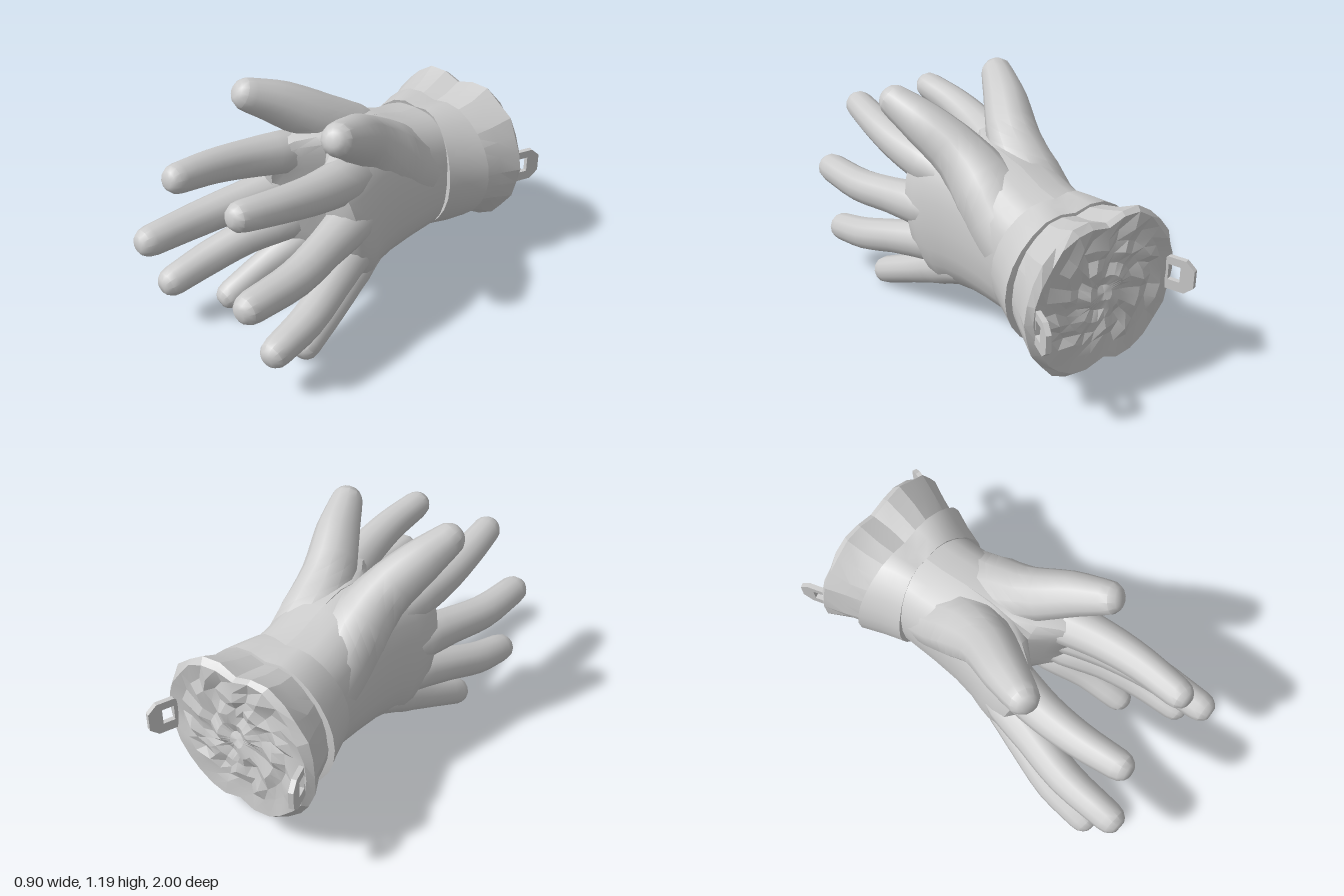
import * as THREE from 'three';
import { toCreasedNormals } from 'three/addons/utils/BufferGeometryUtils.js';

const material = new THREE.MeshStandardMaterial({ color: 0xcccccc });
const V = (x, y, z) => new THREE.Vector3(x, y, z);
const spow = (v, p) => Math.sign(v) * Math.abs(v) ** p;
const hash = (n) => { const s = Math.sin(n * 127.1) * 43758.5; return s - Math.floor(s) - 0.5; };

// Skins equal-sized rings of points and closes both ends; side = -1 mirrors across x.
function loft(name, rings, side = 1, crease = 0.6) {
  const n = rings[0].length, pos = [], idx = [];
  const tri = (a, b, c) => (side > 0 ? idx.push(a, b, c) : idx.push(a, c, b));
  rings.flat().forEach((p) => pos.push(p.x * side, p.y, p.z));
  for (let i = 0; i < rings.length - 1; i++) {
    for (let j = 0; j < n; j++) {
      const k = (j + 1) % n, a = i * n + j, b = i * n + k;
      tri(a, b, b + n);
      tri(a, b + n, a + n);
    }
  }
  [0, rings.length - 1].forEach((r) => {
    const c = rings[r].reduce((s, p) => s.add(p), V(0, 0, 0)).divideScalar(n);
    const m = pos.length / 3;
    pos.push(c.x * side, c.y, c.z);
    for (let j = 0; j < n; j++) {
      const a = r * n + j, b = r * n + ((j + 1) % n);
      if (r) tri(a, b, m); else tri(b, a, m);
    }
  });
  const g = new THREE.BufferGeometry();
  g.setAttribute('position', new THREE.Float32BufferAttribute(pos, 3));
  g.setIndex(idx);
  const mesh = new THREE.Mesh(toCreasedNormals(g, crease), material);
  mesh.name = name;
  return mesh;
}

// Rounded digit along a curve; each stop is [x, y, z, radius].
function digit(name, stops, side, sides = 12) {
  const curve = new THREE.CatmullRomCurve3(stops.map(([x, y, z]) => V(x, y, z)));
  const rings = [], steps = (stops.length - 1) * 3;
  const ring = (c, t, r) => {
    const u = V(0, 1, 0).cross(t).normalize(), w = t.clone().cross(u);
    rings.push(Array.from({ length: sides }, (_, j) => {
      const a = ((j + 0.5) / sides) * Math.PI * 2;
      const p = c.clone().addScaledVector(u, r * Math.cos(a)).addScaledVector(w, r * Math.sin(a));
      p.x = Math.max(0, p.x);
      return p;
    }));
  };
  for (let i = 0; i <= steps; i++) {
    const f = i / 3, k = Math.min(Math.floor(f), stops.length - 2);
    const r = THREE.MathUtils.lerp(stops[k][3], stops[k + 1][3], f - k);
    ring(curve.getPoint(i / steps), curve.getTangent(i / steps), r);
  }
  // rounded fingertip
  const end = curve.getPoint(1), t = curve.getTangent(1), r = stops.at(-1)[3];
  [[0.5, 0.9], [0.85, 0.65], [1, 0.4]].forEach(([d, s]) => ring(end.clone().addScaledVector(t, d * r), t, r * s));
  return loft(name, rings, side);
}

// Palm sections: [z, xMin, xMax, yMin, yMax, knuckle arch, forward lean]
const PALM = [
  [-0.56, -0.28, 0.28, 0.22, 0.85, 0, 0],
  [-0.4, -0.28, 0.28, 0.22, 0.87, 0, 0],
  [-0.25, -0.28, 0.28, 0.205, 0.92, 0, 0],
  [-0.1, -0.28, 0.285, 0.19, 0.945, 0, 0],
  [0.02, -0.2, 0.29, 0.18, 0.94, 0.01, 0.03],
  [0.1, -0.06, 0.295, 0.178, 0.925, 0.025, 0.1],
  [0.17, 0.03, 0.29, 0.2, 0.91, 0.045, 0.16],
  [0.23, 0.08, 0.275, 0.24, 0.885, 0.06, 0.2],
  [0.27, 0.13, 0.24, 0.31, 0.8, 0.065, 0.22],
  [0.285, 0.16, 0.2, 0.38, 0.73, 0.065, 0.22],
];

function palm(side) {
  return loft('palm', PALM.map(([z, x0, x1, y0, y1, arch, lean]) => Array.from({ length: 24 }, (_, j) => {
    const a = (j / 24) * Math.PI * 2, v = spow(Math.sin(a), 0.8);
    const x = (x0 + x1) / 2 + ((x1 - x0) / 2) * spow(Math.cos(a), 0.75) + arch * (1 - v * v);
    const y = (y0 + y1) / 2 + ((y1 - y0) / 2) * v;
    return V(Math.max(0, x), y, z + lean * (y - 0.55));
  })), side);
}

const DIGITS = {
  thumb: [[0.1, 0.5, -0.5, 0.17], [0.112, 0.64, -0.32, 0.175], [0.12, 0.785, -0.15, 0.17],
    [0.158, 0.92, 0.01, 0.133], [0.242, 1.045, 0.19, 0.11], [0.3, 1.118, 0.33, 0.084]],
  indexFinger: [[0.15, 0.77, -0.02, 0.08], [0.198, 0.81, 0.22, 0.11], [0.228, 0.843, 0.42, 0.096],
    [0.235, 0.88, 0.62, 0.084], [0.22, 0.912, 0.83, 0.073]],
  middleFinger: [[0.17, 0.59, 0, 0.09], [0.24, 0.592, 0.22, 0.112], [0.293, 0.578, 0.42, 0.094],
    [0.342, 0.555, 0.65, 0.087], [0.357, 0.552, 0.92, 0.076]],
  ringFinger: [[0.16, 0.43, -0.04, 0.08], [0.227, 0.395, 0.2, 0.103], [0.3, 0.352, 0.4, 0.089],
    [0.355, 0.295, 0.6, 0.085], [0.376, 0.252, 0.8, 0.075]],
  littleFinger: [[0.15, 0.34, -0.1, 0.07], [0.19, 0.262, 0.14, 0.095], [0.245, 0.17, 0.34, 0.077],
    [0.278, 0.08, 0.53, 0.072]],
};

// Oval cuff ring dipping at the middle of its top and bottom.
function cuffRing(z, hx, y0, y1, notch, shift, rough = 0) {
  const n = 28;
  return Array.from({ length: n }, (_, j) => {
    const a = (j / n) * Math.PI * 2, c = Math.cos(a), s = Math.sin(a);
    const dip = notch * Math.max(0, 1 - Math.abs(c) / 0.35) * Math.sign(s);
    const seed = j + hx * 91;
    return V(hx * c + rough * hash(seed + 40), (y0 + y1) / 2 + ((y1 - y0) / 2) * s - dip + rough * hash(seed + 70),
      z - shift * Math.max(0, s) ** 2 + rough * hash(seed));
  });
}

// Ring of the back wall, crumpled by a rule on position.
function wallRing(r) {
  const ring = cuffRing(-0.862, r, 0.54 - r * 0.92, 0.54 + r * 0.92, r * 0.12, 0);
  ring.forEach((p) => { p.z += 0.011 * Math.sin(p.x * 41 + p.y * 13) + 0.009 * Math.sin(p.y * 47 - p.x * 19); });
  return ring;
}

// Flat pull tab with a slot, flaring outward behind the cuff.
function pullTab(side) {
  const s = new THREE.Shape([[-0.03, -0.085], [0.09, -0.085], [0.135, -0.045],
    [0.135, 0.045], [0.09, 0.085], [0, 0.085], [-0.03, 0.06]].map((p) => new THREE.Vector2(...p)));
  s.holes.push(new THREE.Path([[0.005, -0.035], [0.005, 0.045], [0.065, 0.045], [0.065, -0.035]]
    .map((p) => new THREE.Vector2(...p))));
  const g = new THREE.ExtrudeGeometry(s, { depth: 0.025, bevelEnabled: false });
  g.translate(0, 0, -0.0125).rotateY(Math.PI / 2 - side * 0.33);
  const mesh = new THREE.Mesh(g, material);
  mesh.position.set(side * 0.385, 0.517, -0.868);
  mesh.name = 'pullTab';
  return mesh;
}

export function createModel() {
  const model = new THREE.Group();
  model.name = 'joinedGloves';
  for (const side of [1, -1]) {
    const hand = new THREE.Group();
    hand.name = side > 0 ? 'leftHand' : 'rightHand';
    hand.add(palm(side));
    for (const [name, stops] of Object.entries(DIGITS)) hand.add(digit(name, stops, side));
    hand.add(pullTab(side));
    model.add(hand);
  }

  // wrist band overlapping the hands
  model.add(loft('wristBand', [
    cuffRing(-0.655, 0.34, 0.22, 0.85, 0.03, 0),
    cuffRing(-0.645, 0.39, 0.18, 0.89, 0.04, 0),
    cuffRing(-0.54, 0.345, 0.18, 0.895, 0.04, 0.03),
    cuffRing(-0.435, 0.31, 0.2, 0.89, 0.03, 0.07),
    cuffRing(-0.45, 0.27, 0.25, 0.84, 0.03, 0.07),
  ]));

  // flared cuff with a crumpled back wall
  model.add(loft('cuff', [
    ...[0.04, 0.1, 0.16, 0.22, 0.28, 0.34].map(wallRing),
    cuffRing(-0.868, 0.405, 0.135, 0.93, 0.06, 0, 0.012),
    cuffRing(-0.84, 0.438, 0.115, 0.955, 0.07, 0, 0.012),
    cuffRing(-0.74, 0.395, 0.17, 0.905, 0.05, 0, 0.012),
    cuffRing(-0.62, 0.345, 0.195, 0.87, 0.04, 0),
  ], 1, 0.25));
  return model;
}
